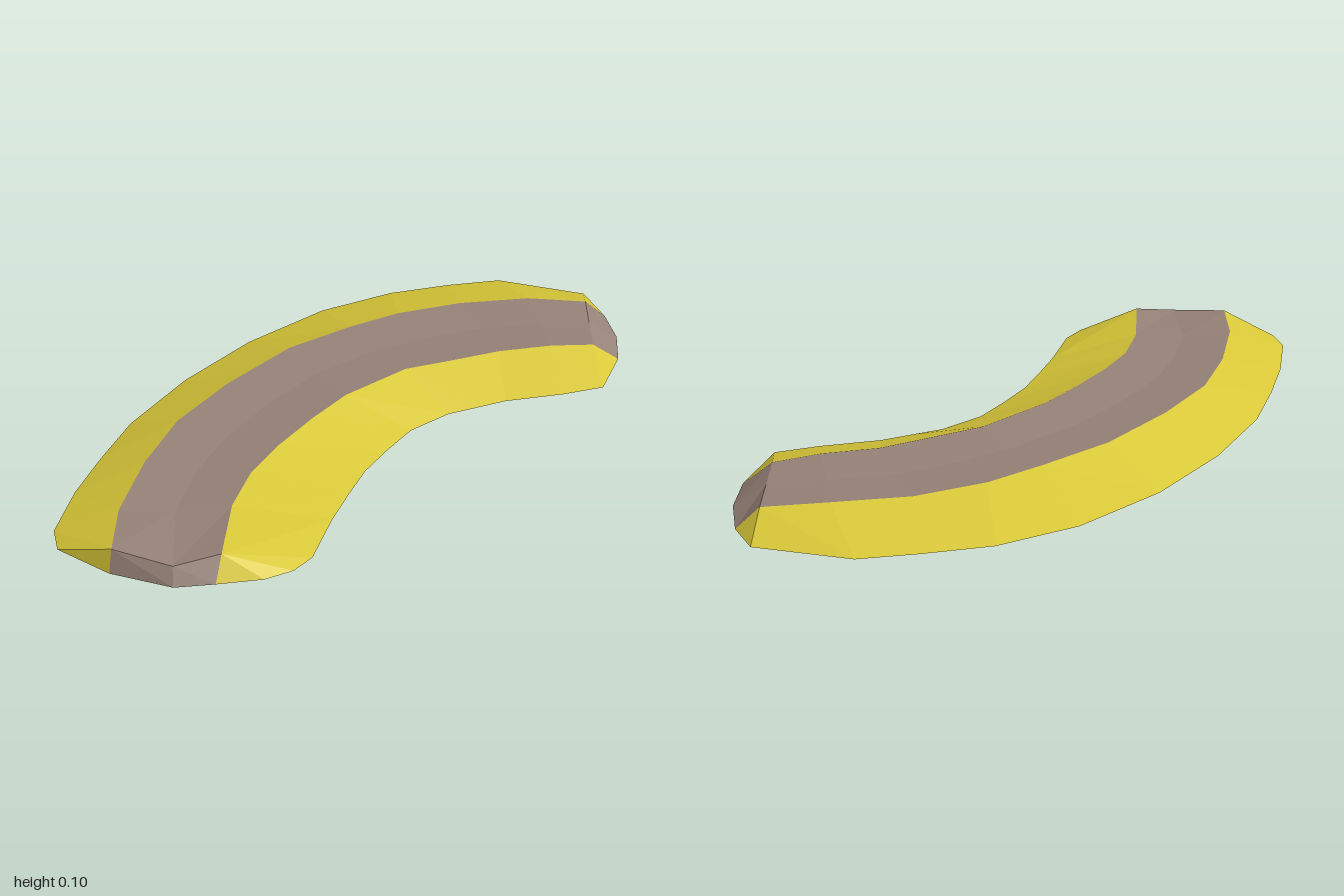
import * as THREE from 'three';

// Joins [x, z] outline points with heights into 3D points
const rail = (xz, y) => xz.map(([x, z], i) => [x, Array.isArray(y) ? y[i] : y, z]);

// Triangles between two rails, rail a on the left of the travel direction
function strip(a, b) {
  const out = [];
  for (let i = 0; i < a.length - 1; i++) {
    out.push(a[i], b[i], b[i + 1], a[i], b[i + 1], a[i + 1]);
  }
  return out;
}

// Triangles from one corner to a row of points, anticlockwise from above
function fan(c, pts) {
  const out = [];
  for (let i = 0; i < pts.length - 1; i++) out.push(c, pts[i], pts[i + 1]);
  return out;
}

function surface(name, points, material) {
  const g = new THREE.BufferGeometry();
  g.setAttribute('position', new THREE.Float32BufferAttribute(points.flat(), 3));
  g.computeVertexNormals();
  const mesh = new THREE.Mesh(g, material);
  mesh.name = name;
  return mesh;
}

export function createModel() {
  const group = new THREE.Group();
  group.name = 'curvedPath';
  const make = (name, color) => {
    const m = new THREE.MeshStandardMaterial({ color, side: THREE.DoubleSide, flatShading: true });
    m.name = name;
    return m;
  };
  const yellow = make('yellowBank', 0xd9c838);
  const brown = make('brownEarth', 0x968278);

  // Rails along the bend, from the front end to the back end
  const topY = [0.095, 0.092, 0.092, 0.095, 0.098, 0.1, 0.096, 0.09, 0.085, 0.085, 0.07];
  const outerFoot = rail([[-1, 0.64], [-0.95, 0.42], [-0.88, 0.22], [-0.79, 0], [-0.61, -0.28],
    [-0.38, -0.54], [-0.1, -0.76], [0.17, -0.88], [0.4, -0.925], [0.6, -0.95], [0.92, -0.84]],
  [0.025, 0.02, 0.015, 0.012, 0.01, 0.01, 0.012, 0.015, 0.02, 0.022, 0.015]);
  const outerTop = rail([[-0.8, 0.84], [-0.79, 0.63], [-0.72, 0.36], [-0.62, 0.12], [-0.45, -0.11],
    [-0.23, -0.34], [0, -0.49], [0.18, -0.59], [0.42, -0.665], [0.68, -0.69], [0.9, -0.68]], topY);
  const innerTop = rail([[-0.46, 0.88], [-0.43, 0.62], [-0.37, 0.44], [-0.28, 0.29], [-0.16, 0.13],
    [-0.04, -0.01], [0.18, -0.18], [0.35, -0.24], [0.53, -0.305], [0.72, -0.335], [0.88, -0.36]], topY);
  const innerFoot = rail([[-0.18, 0.8], [-0.11, 0.6], [-0.05, 0.46], [0.01, 0.33], [0.09, 0.21],
    [0.18, 0.09], [0.32, -0.01], [0.42, -0.045], [0.53, -0.085], [0.74, -0.12], [0.89, -0.16]], 0.01);

  // Slightly worn centre line of the path
  const middle = outerTop.map((p, i) => p.map((v, k) => (v + innerTop[i][k]) / 2 - (k === 1 ? 0.01 : 0)));
  middle[0] = [-0.61, 0.075, 0.91];
  middle[10] = [0.89, 0.07, -0.52];

  // Feet of the two end ramps
  const frontFoot = rail([[-0.81, 0.865], [-0.61, 0.945], [-0.48, 0.935]], 0.02);
  const backFoot = rail([[0.98, -0.69], [1, -0.53], [0.98, -0.37]], 0);
  const endTop = (i) => [outerTop[i], middle[i], innerTop[i]];

  // Brown path and end ramps
  group.add(surface('pathTop', [...strip(outerTop, middle), ...strip(middle, innerTop)], brown));
  group.add(surface('frontRamp', strip(endTop(0), frontFoot), brown));
  group.add(surface('backRamp', strip(backFoot, endTop(10)), brown));

  // Sloping yellow banks with their rounded corners
  group.add(surface('outerBank', [
    ...strip(outerFoot, outerTop),
    ...fan(outerTop[0], [outerFoot[0], [-0.98, 0.025, 0.74], frontFoot[0]]),
    ...fan(outerTop[10], [backFoot[0], outerFoot[10]]),
  ], yellow));
  group.add(surface('innerBank', [
    ...strip(innerTop, innerFoot),
    ...fan(innerTop[0], [frontFoot[2], [-0.33, 0.018, 0.915], [-0.24, 0.014, 0.87], innerFoot[0]]),
    ...fan(innerTop[10], [innerFoot[10], backFoot[2]]),
  ], yellow));
  return group;
}
